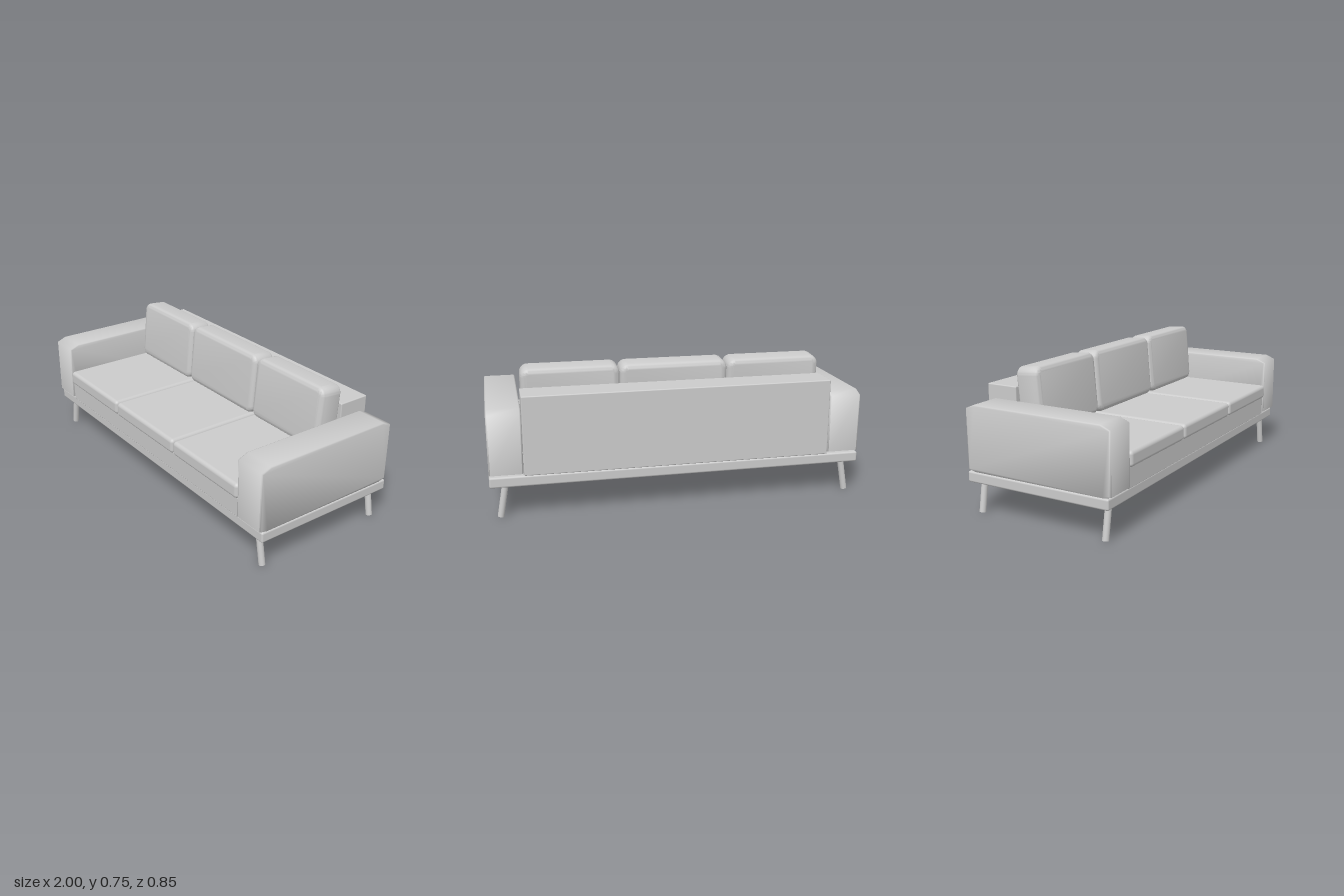
import * as THREE from 'three';
import { RoundedBoxGeometry } from 'three/addons/geometries/RoundedBoxGeometry.js';
import { toCreasedNormals } from 'three/addons/utils/BufferGeometryUtils.js';

const material = new THREE.MeshStandardMaterial({ color: 0xcccccc });

function addMesh(parent, name, geometry, x = 0, y = 0, z = 0) {
  const mesh = new THREE.Mesh(geometry, material);
  mesh.name = name;
  mesh.position.set(x, y, z);
  parent.add(mesh);
  return mesh;
}

// Box with rounded edges, given by its limits on each axis
function softBox(parent, name, [x0, x1], [y0, y1], [z0, z1], radius, segments = 2) {
  return addMesh(parent, name,
    new RoundedBoxGeometry(x1 - x0, y1 - y0, z1 - z0, segments, radius),
    (x0 + x1) / 2, (y0 + y1) / 2, (z0 + z1) / 2);
}

// Upright cushion: rounded rectangle with a soft bevel, centred on the origin
function cushionGeometry(w, h, d, corner, bevel) {
  const a = w / 2 - bevel, b = h / 2 - bevel, r = corner - bevel;
  const shape = new THREE.Shape();
  shape.absarc(a - r, b - r, r, 0, Math.PI / 2);
  shape.absarc(-a + r, b - r, r, Math.PI / 2, Math.PI);
  shape.absarc(-a + r, -b + r, r, Math.PI, Math.PI * 1.5);
  shape.absarc(a - r, -b + r, r, Math.PI * 1.5, Math.PI * 2);
  const geometry = new THREE.ExtrudeGeometry(shape, {
    depth: d - 2 * bevel, bevelSize: bevel, bevelThickness: bevel, bevelSegments: 5, curveSegments: 5,
  });
  geometry.translate(0, 0, bevel - d / 2);
  return toCreasedNormals(geometry, 0.8);
}

// Arm: side profile with cut corners, extruded across its width
function armGeometry(width) {
  const bevel = 0.008;
  const profile = [
    [0.375, 0.228], [0.418, 0.238], [0.418, 0.553], [0.365, 0.575],
    [-0.365, 0.575], [-0.418, 0.553], [-0.418, 0.238], [-0.375, 0.228],
  ].map(([z, y]) => new THREE.Vector2(z, y));
  const geometry = new THREE.ExtrudeGeometry(new THREE.Shape(profile), {
    depth: width - 2 * bevel, bevelSize: bevel, bevelThickness: bevel, bevelOffset: -bevel, bevelSegments: 2,
  });
  geometry.translate(0, 0, bevel - width / 2);
  geometry.rotateY(-Math.PI / 2);
  return toCreasedNormals(geometry, 1.25);
}

export function createModel() {
  const sofa = new THREE.Group();
  sofa.name = 'sofa';

  // Base plate, seat frame and back
  softBox(sofa, 'basePlate', [-1, 1], [0.172, 0.229], [-0.423, 0.405], 0.01);
  softBox(sofa, 'seatFrame', [-0.825, 0.825], [0.227, 0.335], [-0.41, 0.411], 0.004);
  softBox(sofa, 'backrest', [-0.822, 0.822], [0.227, 0.645], [-0.421, -0.243], 0.006);

  // Arms
  const arm = armGeometry(0.176);
  addMesh(sofa, 'leftArm', arm, 0.912);
  addMesh(sofa, 'rightArm', arm, -0.912);

  // Three seat cushions
  for (const [x0, x1] of [[-0.824, -0.285], [-0.28, 0.28], [0.285, 0.824]]) {
    softBox(sofa, 'seatCushion', [x0, x1], [0.33, 0.412], [-0.25, 0.425], 0.02, 4);
  }

  // Three back cushions, leaning slightly backwards
  for (const [x, w] of [[-0.554, 0.52], [0, 0.586], [0.554, 0.52]]) {
    const cushion = addMesh(sofa, 'backCushion', cushionGeometry(w, 0.34, 0.138, 0.045, 0.028), x, 0.578, -0.172);
    cushion.rotation.x = -0.087;
  }

  // Splayed legs
  const up = new THREE.Vector3(0, 1, 0);
  for (const side of [-1, 1]) {
    for (const z of [0.357, -0.382]) {
      const foot = new THREE.Vector3(side * 0.95, 0.003, z);
      const top = new THREE.Vector3(side * 0.918, 0.185, z);
      const axis = top.clone().sub(foot);
      const leg = addMesh(sofa, 'leg', new THREE.CylinderGeometry(0.017, 0.017, axis.length(), 20));
      leg.position.copy(foot).add(top).multiplyScalar(0.5);
      leg.quaternion.setFromUnitVectors(up, axis.normalize());
    }
  }
  return sofa;
}
